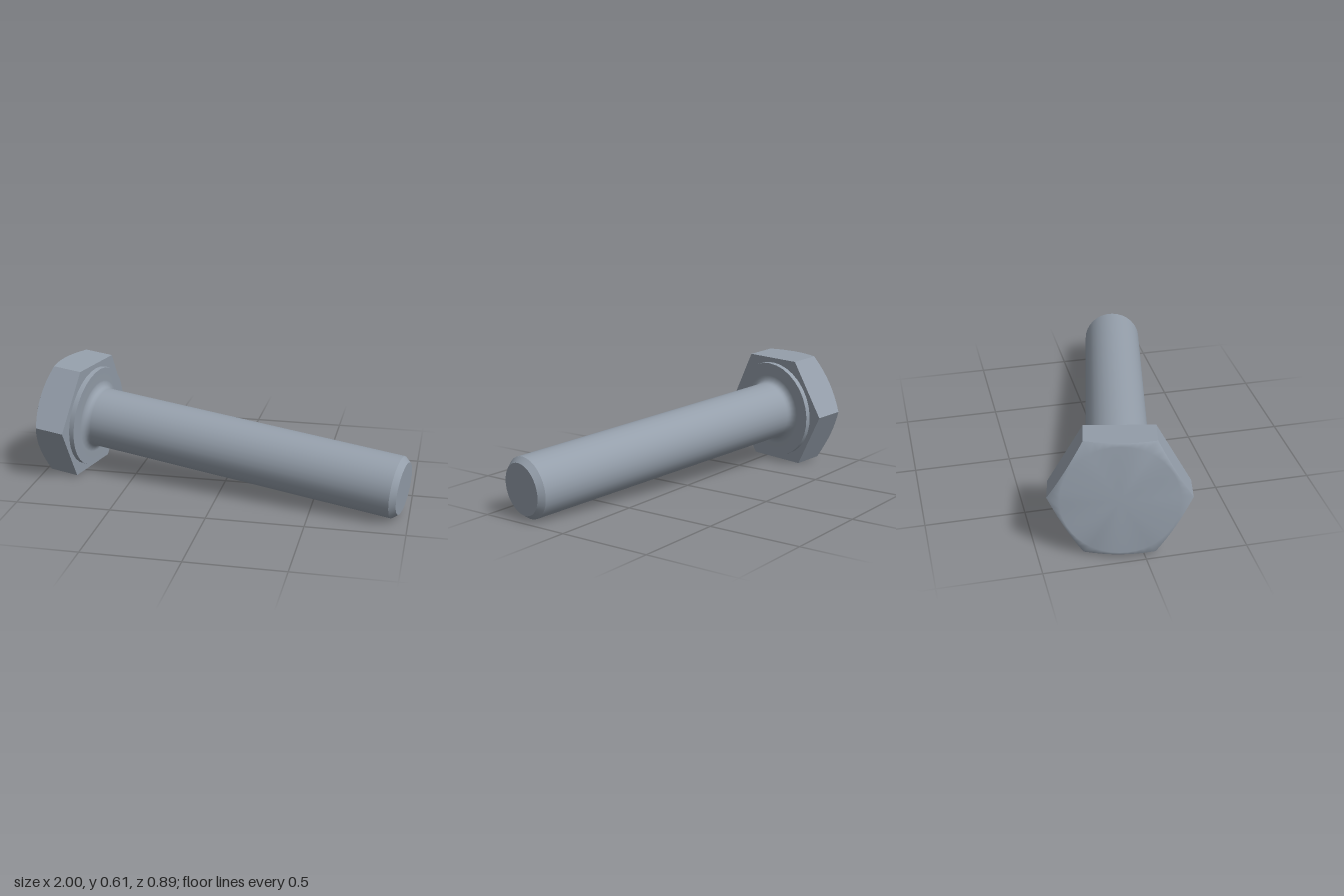
import * as THREE from 'three';

const FLAT = 0.2985;   // half the width across the flats
const THICK = 0.195;   // head thickness
const RIM = 0.284;     // circle where the head chamfer starts
const WASHER = 0.272, WASHER_TOP = 0.027;
const SHAFT = 0.16, LENGTH = 1.763;
const STEPS = 8;       // samples along each flat

// Point on the hexagon at an angle; corners lie every 60 degrees from +z
function hexPoint(i) {
  const a = (i / (6 * STEPS)) * Math.PI * 2;
  const r = FLAT / Math.cos((a % (Math.PI / 3)) - Math.PI / 6);
  return { a, r, x: Math.sin(a) * r, z: Math.cos(a) * r };
}

// Height of the chamfered back (30 degree cone) at a radius
const backY = (r) => -THICK + Math.max(0, r - RIM) * Math.tan(Math.PI / 6);

function surface(positions, index) {
  const g = new THREE.BufferGeometry();
  g.setAttribute('position', new THREE.Float32BufferAttribute(positions, 3));
  g.setIndex(index);
  g.computeVertexNormals();
  return g;
}

// Six flats, each with a curved back edge cut by the chamfer
function headSides() {
  const pos = [], idx = [];
  for (let k = 0; k < 6; k++) {
    for (let j = 0; j <= STEPS; j++) {
      const p = hexPoint((k * STEPS + j) % (6 * STEPS));
      const b = pos.length / 3;
      pos.push(p.x, backY(p.r), p.z, p.x, 0, p.z);
      if (j < STEPS) idx.push(b, b + 2, b + 3, b, b + 3, b + 1);
    }
  }
  return surface(pos, idx);
}

// Back of the head: centre, chamfer circle and hexagon outline, smoothly shaded
function headBack() {
  const n = 6 * STEPS, pos = [0, -THICK, 0], idx = [];
  for (let i = 0; i < n; i++) {
    const p = hexPoint(i);
    pos.push(Math.sin(p.a) * RIM, -THICK, Math.cos(p.a) * RIM, p.x, backY(p.r), p.z);
    const a = 1 + 2 * i, b = 1 + 2 * ((i + 1) % n);
    idx.push(0, b, a, a, b, b + 1, a, b + 1, a + 1);
  }
  return surface(pos, idx);
}

function lathe(points) {
  return new THREE.LatheGeometry(points.map(([r, y]) => new THREE.Vector2(r, y)), 32);
}

export function createModel() {
  const steel = new THREE.MeshStandardMaterial({ color: 0x959fab });
  steel.name = 'steel grey';

  const bolt = new THREE.Group();
  bolt.name = 'hexBolt';
  const add = (name, geometry) => {
    const mesh = new THREE.Mesh(geometry, steel);
    mesh.name = name;
    bolt.add(mesh);
    return mesh;
  };

  // Head
  add('headSides', headSides());
  add('headBack', headBack());
  const under = add('headUnderside', new THREE.CircleGeometry(FLAT / Math.cos(Math.PI / 6), 6, Math.PI / 2));
  under.rotation.x = -Math.PI / 2;

  // Raised washer face
  add('washerRim', lathe([[WASHER, 0], [WASHER, WASHER_TOP]]));

  // Washer face running through a small fillet into the shaft
  const shoulder = LENGTH - 0.03;
  add('shaft', lathe([
    [WASHER, WASHER_TOP], [0.2, WASHER_TOP], [0.19, WASHER_TOP + 0.001], [0.175, 0.033],
    [0.165, 0.043], [0.161, 0.055], [SHAFT, 0.065], [SHAFT, shoulder],
  ]));

  // Chamfered tip
  add('tipChamfer', lathe([[SHAFT, shoulder], [0.135, LENGTH]]));
  add('tipFace', lathe([[0.135, LENGTH], [0, LENGTH]]));

  // Lay the bolt along its tilted axis
  bolt.rotation.set(0, -0.2106, -Math.PI / 2 - 0.0791, 'YZX');
  bolt.position.set(-0.75, 0.2985, -0.0755);

  const model = new THREE.Group();
  model.name = 'bolt';
  model.add(bolt);
  return model;
}
